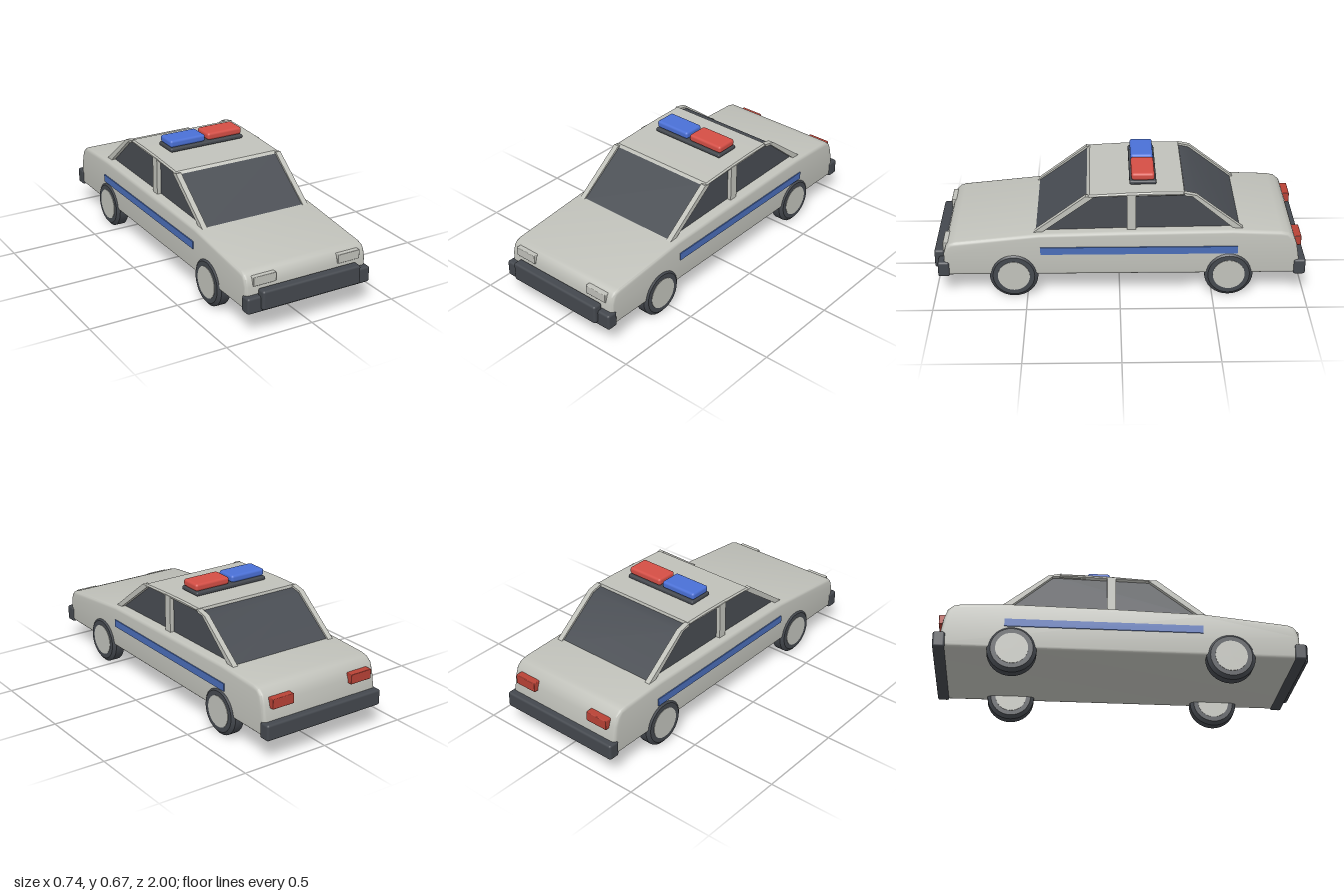
import * as THREE from 'three';
import { toCreasedNormals } from 'three/addons/utils/BufferGeometryUtils.js';
import { RoundedBoxGeometry } from 'three/addons/geometries/RoundedBoxGeometry.js';

const mat = (name, color) => {
  const m = new THREE.MeshStandardMaterial({ color });
  m.name = name;
  return m;
};

export function createModel() {
  const car = new THREE.Group();
  car.name = 'patrolCar';

  const paint = mat('pale grey paint', 0xc0c1ba);
  const dark = mat('dark rubber', 0x44484e);
  const glass = mat('dark glass', 0x484c52);
  const blue = mat('blue', 0x4a70d6);
  const stripeBlue = mat('stripe blue', 0x4a6db8);
  const red = mat('red', 0xd44e45);
  const tailRed = mat('tail light red', 0xb84236);

  const add = (name, geometry, material, x = 0, y = 0, z = 0) => {
    const mesh = new THREE.Mesh(geometry, material);
    mesh.name = name;
    mesh.position.set(x, y, z);
    car.add(mesh);
    return mesh;
  };

  // Extrudes a side profile of [z, y] points across x, centred on x = 0
  const sideExtrude = (points, width, bevel = 0, steps = 1) => {
    const shape = new THREE.Shape(points.map(([z, y]) => new THREE.Vector2(z, y)));
    const geometry = new THREE.ExtrudeGeometry(shape, {
      depth: width - 2 * bevel,
      bevelEnabled: bevel > 0,
      bevelSize: bevel,
      bevelThickness: bevel,
      bevelOffset: -bevel,
      bevelSegments: steps,
    });
    geometry.translate(0, 0, -(width - 2 * bevel) / 2);
    geometry.rotateY(-Math.PI / 2);
    return toCreasedNormals(geometry, 0.6);
  };

  // Box given by its limits, with softened edges
  const block = (name, material, [x0, x1], [y0, y1], [z0, z1], r) =>
    add(name, new RoundedBoxGeometry(x1 - x0, y1 - y0, z1 - z0, 2, r), material,
      (x0 + x1) / 2, (y0 + y1) / 2, (z0 + z1) / 2);

  // Lower body
  add('body', sideExtrude([
    [0.93, 0.132], [0.945, 0.15], [0.942, 0.26], [0.93, 0.3], [0.912, 0.32], [0.88, 0.331],
    [0.43, 0.377], [0, 0.387], [-0.6, 0.394], [-0.86, 0.384], [-0.9, 0.375],
    [-0.93, 0.35], [-0.948, 0.3], [-0.965, 0.2], [-0.965, 0.15], [-0.95, 0.132],
  ], 0.72, 0.018, 3), paint);

  // Cabin glass and roof
  add('cabinGlass', sideExtrude([
    [0.455, 0.37], [0.165, 0.583], [-0.345, 0.59], [-0.4, 0.578], [-0.65, 0.385],
  ], 0.605), glass);
  add('roof', sideExtrude([
    [0.175, 0.576], [0.16, 0.589], [-0.05, 0.6], [-0.2, 0.605], [-0.34, 0.605], [-0.345, 0.585],
  ], 0.645, 0.008, 1), paint);

  for (const side of [1, -1]) {
    // Window pillars
    const px = side * 0.311;
    add('frontPillar', sideExtrude([
      [0.46, 0.375], [0.18, 0.586], [0.14, 0.578], [0.415, 0.375],
    ], 0.03), paint, px);
    add('middlePillar', new THREE.BoxGeometry(0.03, 0.21, 0.048), paint, px, 0.488, -0.062);
    add('rearPillar', sideExtrude([
      [-0.335, 0.603], [-0.345, 0.585], [-0.382, 0.582], [-0.615, 0.385],
      [-0.665, 0.385], [-0.405, 0.588],
    ], 0.03), paint, px);

    // Side stripe
    add('sideStripe', new THREE.BoxGeometry(0.008, 0.042, 1.055), stripeBlue, side * 0.362, 0.28, -0.103);

    // Head and tail lights
    const lx = side > 0 ? [0.185, 0.318] : [-0.318, -0.185];
    block('headlight', paint, lx, [0.26, 0.31], [0.9, 0.948], 0.004);
    block('tailLight', tailRed, lx, [0.28, 0.334], [-0.975, -0.92], 0.004);

    // Wheels
    for (const z of [0.57, -0.587]) {
      const profile = [[0, -0.041], [0.112, -0.041], [0.131, -0.026], [0.131, 0.026], [0.112, 0.041], [0, 0.041]];
      const tyre = new THREE.LatheGeometry(profile.map(([r, y]) => new THREE.Vector2(r, y)), 32);
      tyre.rotateZ(Math.PI / 2);
      add('tyre', toCreasedNormals(tyre, 0.5), dark, side * 0.327, 0.131, z);
      const hub = new THREE.CylinderGeometry(0.086, 0.086, 0.087, 32);
      hub.rotateZ(Math.PI / 2);
      add('hubcap', hub, paint, side * 0.327, 0.131, z);
    }
  }

  // Bumpers and front push bar
  block('frontBumper', dark, [-0.367, 0.367], [0.127, 0.215], [0.914, 0.977], 0.012);
  block('rearBumper', dark, [-0.367, 0.367], [0.127, 0.215], [-1, -0.935], 0.012);
  block('pushBar', dark, [-0.293, 0.293], [0.143, 0.248], [0.945, 1], 0.012);

  // Roof light bar
  block('lightBarBase', dark, [-0.228, 0.228], [0.604, 0.627], [-0.197, -0.053], 0.009);
  block('redLamp', red, [0.008, 0.225], [0.627, 0.668], [-0.187, -0.063], 0.014);
  block('blueLamp', blue, [-0.225, -0.008], [0.627, 0.668], [-0.187, -0.063], 0.014);

  return car;
}
